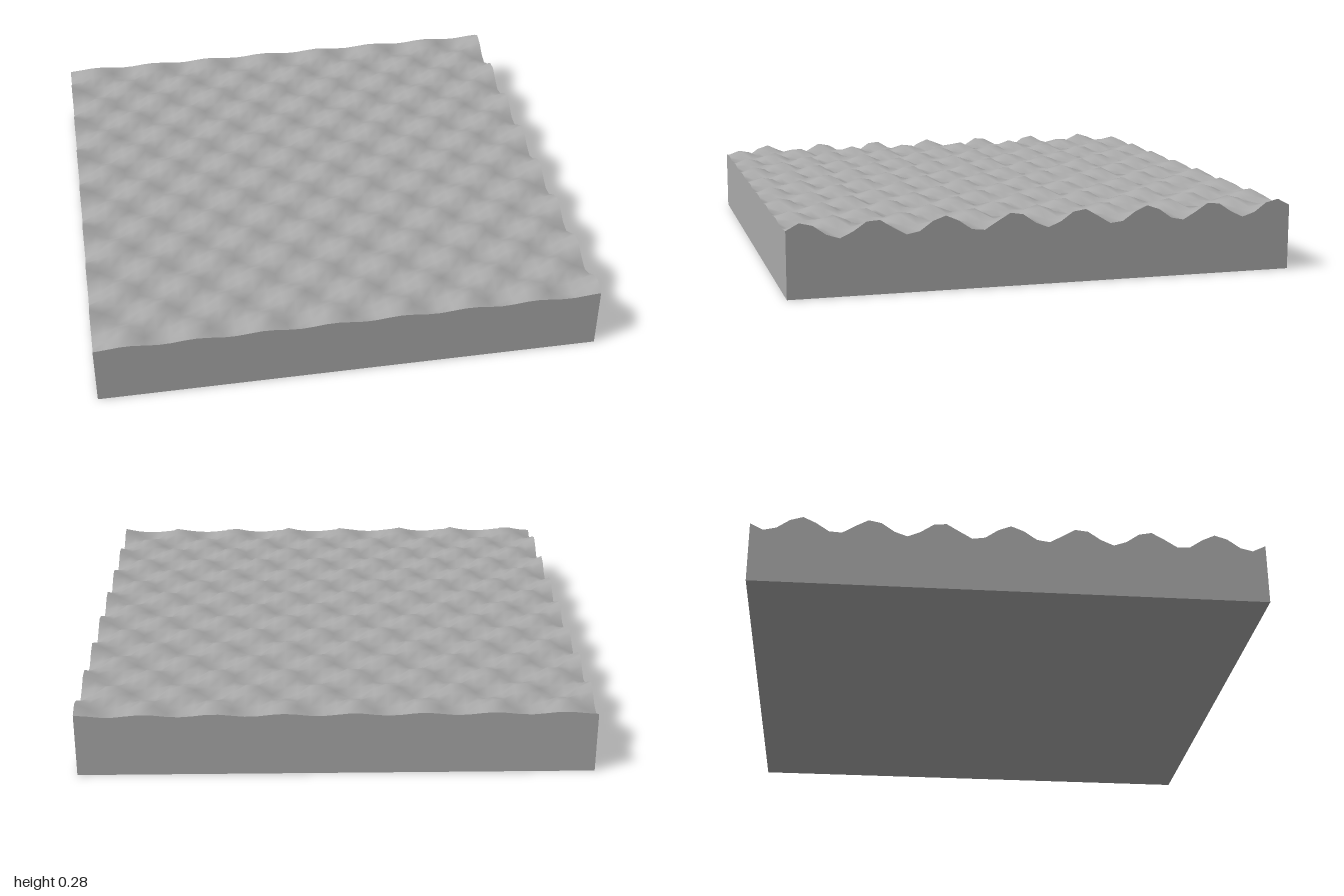
import * as THREE from 'three';

const SIZE = 2, SEGMENTS = 40, HEIGHT = 0.252;
const WAVE = 23.4, AMPLITUDE = 0.033;

export function createModel() {
  const group = new THREE.Group();
  group.name = 'groundTile';
  const stone = new THREE.MeshStandardMaterial({ color: 0xaaaaaa });
  stone.name = 'stone grey';

  // Slab whose upper vertices ripple in both directions
  const geometry = new THREE.BoxGeometry(SIZE, HEIGHT, SIZE, SEGMENTS, 1, SEGMENTS);
  geometry.translate(0, HEIGHT / 2, 0);
  const p = geometry.attributes.position;
  for (let i = 0; i < p.count; i++) {
    if (p.getY(i) < HEIGHT / 2) continue;
    const ripple = Math.sin(p.getX(i) * WAVE) * Math.cos(p.getZ(i) * WAVE);
    p.setY(i, HEIGHT + AMPLITUDE * ripple);
  }
  geometry.computeVertexNormals();

  const slab = new THREE.Mesh(geometry, stone);
  slab.name = 'rippledSlab';
  group.add(slab);
  return group;
}
